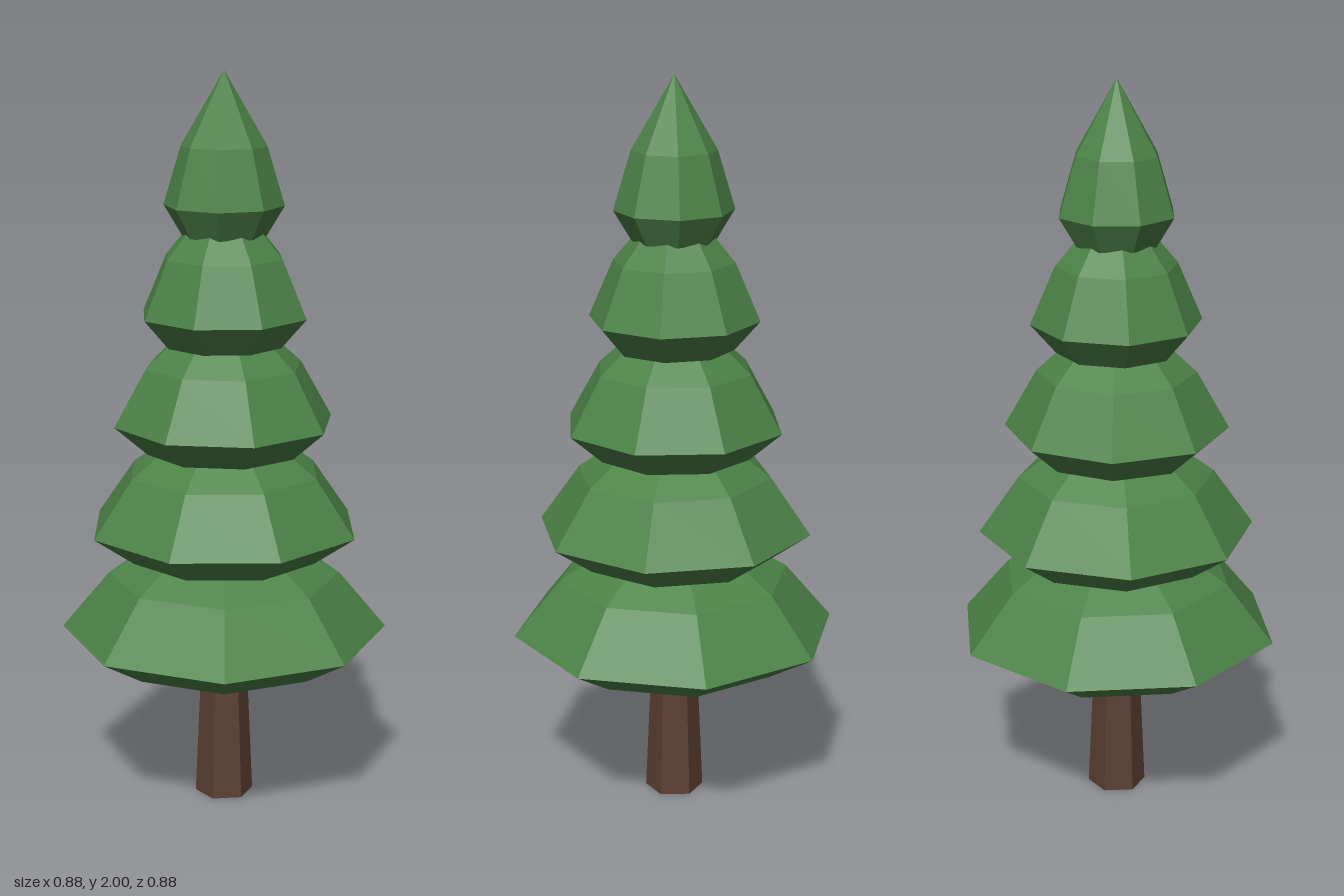
import * as THREE from 'three';

const SIDES = 8;

export function createModel() {
  const tree = new THREE.Group();
  tree.name = 'pineTree';

  const needles = new THREE.MeshStandardMaterial({ color: 0x4d8348, flatShading: true });
  needles.name = 'needleGreen';
  const bark = new THREE.MeshStandardMaterial({ color: 0x5c4033, flatShading: true });
  bark.name = 'barkBrown';

  // Tapered six-sided trunk, ending inside the lowest tier
  const trunk = new THREE.Mesh(
    new THREE.CylinderGeometry(0.058, 0.08, 0.5, 6, 1, false, Math.PI / 6), bark);
  trunk.name = 'trunk';
  trunk.position.y = 0.25;
  tree.add(trunk);

  // Faceted foliage tiers: rim radius and turn in degrees, lowest first
  const tiers = [[0.445, 8.4], [0.375, 31.2], [0.302, 23.2], [0.23, 33.6], [0.16, 2.9]];
  tiers.forEach(([radius, turn], i) => {
    // closed underside, flared rim, shoulder, pointed tip
    const profile = [[0, 0], [0.7, 0], [1, 0.08], [0.71, 0.235], [0, 0.43]]
      .map(([r, y]) => new THREE.Vector2(r * radius, y));
    const tier = new THREE.Mesh(
      new THREE.LatheGeometry(profile, SIDES, THREE.MathUtils.degToRad(turn)), needles);
    tier.name = `foliageTier${i + 1}`;
    tier.position.y = 0.405 + i * 0.29125;
    tree.add(tier);
  });

  return tree;
}
